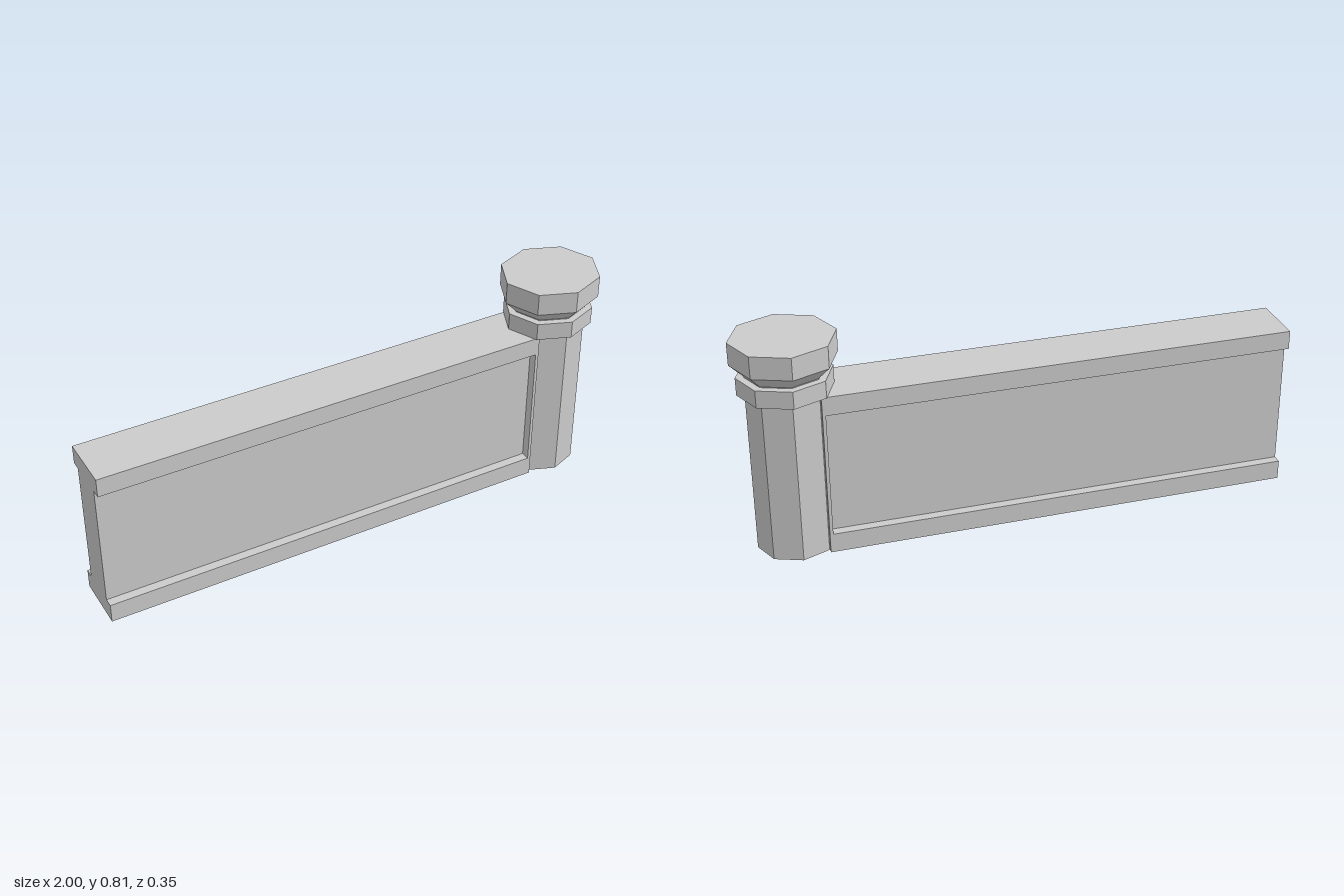
import * as THREE from 'three';

const material = new THREE.MeshStandardMaterial({ color: 0xcccccc, flatShading: true });

export function createModel() {
  const model = new THREE.Group();
  model.name = 'wallWithPost';

  const add = (parent, name, geometry) => {
    const mesh = new THREE.Mesh(geometry, material);
    mesh.name = name;
    parent.add(mesh);
    return mesh;
  };

  // Wall: I-shaped section swept along x, with a narrow stile at the post
  const wall = new THREE.Group();
  wall.name = 'wall';
  model.add(wall);
  const left = -1, right = 0.712, stileX = 0.7, height = 0.615;
  const half = 0.104, web = 0.07, low = 0.073, high = 0.545;
  const section = new THREE.Shape([
    [-half, 0], [half, 0], [half, low], [web, low], [web, high], [half, high],
    [half, height], [-half, height], [-half, high], [-web, high], [-web, low], [-half, low],
  ].map(([x, y]) => new THREE.Vector2(x, y)));
  const rail = new THREE.ExtrudeGeometry(section, { depth: stileX - left, bevelEnabled: false });
  rail.rotateY(Math.PI / 2).translate(left, 0, 0);
  add(wall, 'recessedPanel', rail);
  add(wall, 'endStile', new THREE.BoxGeometry(right - stileX, height, half * 2)
    .translate((right + stileX) / 2, height / 2, 0));

  // Post: stacked octagonal prisms, slightly wider along x
  const post = new THREE.Group();
  post.name = 'post';
  post.position.x = 0.813;
  post.scale.x = 1.07;
  model.add(post);
  const prism = (name, bottomRadius, topRadius, y0, y1, open = false) =>
    add(post, name, new THREE.CylinderGeometry(topRadius, bottomRadius, y1 - y0, 8, 1, open)
      .translate(0, (y0 + y1) / 2, 0));
  prism('shaft', 0.13, 0.13, 0.003, 0.683);
  prism('collar', 0.156, 0.156, 0.615, 0.68);
  prism('capFlare', 0.13, 0.173, 0.683, 0.73, true);
  prism('cap', 0.173, 0.173, 0.73, 0.813);

  return model;
}
